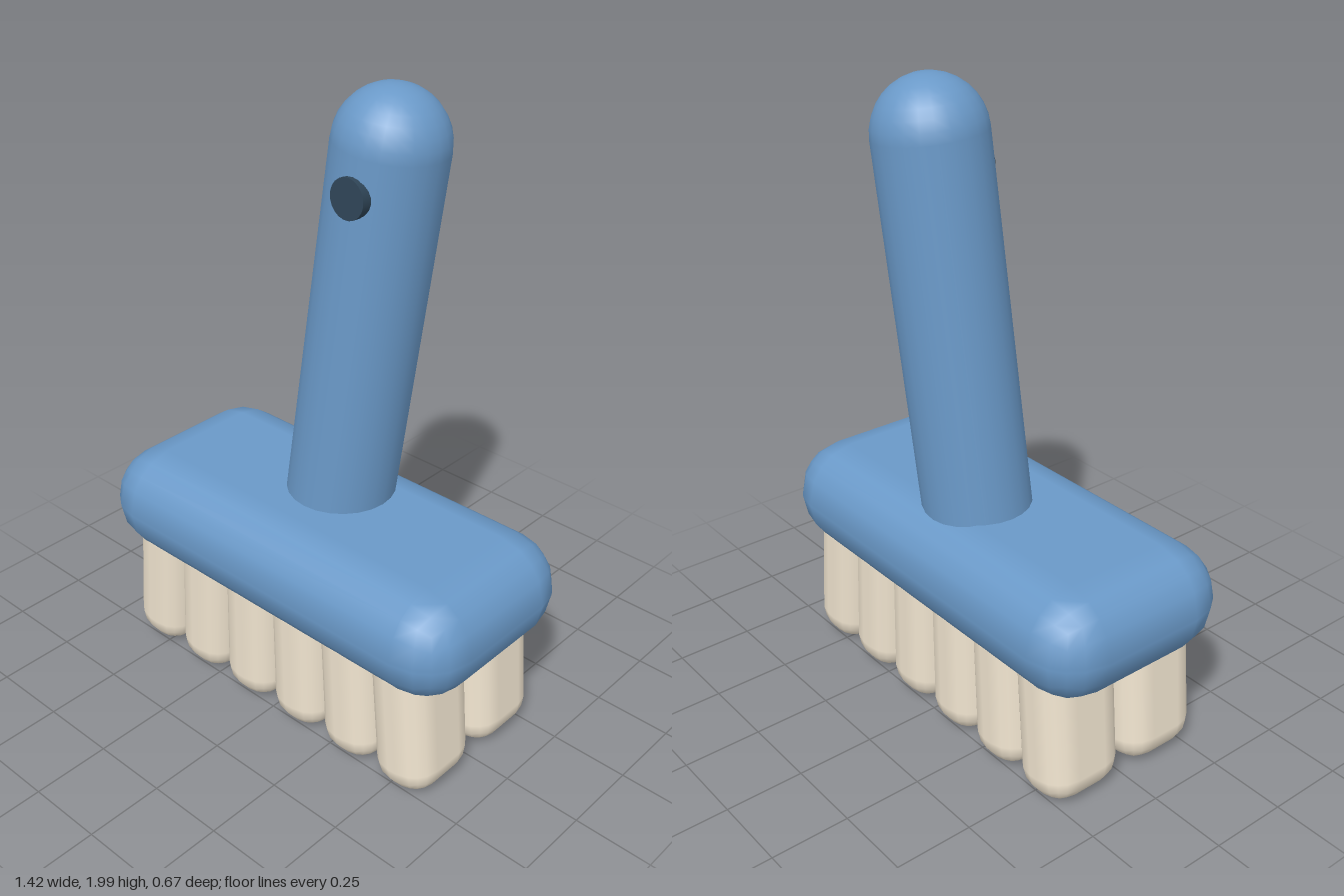
import * as THREE from 'three';
import { RoundedBoxGeometry } from 'three/addons/geometries/RoundedBoxGeometry.js';

export function createModel() {
  const model = new THREE.Group();
  model.name = 'scrubBrush';

  const blue = new THREE.MeshStandardMaterial({ color: 0x6a99c8 });
  const cream = new THREE.MeshStandardMaterial({ color: 0xf0e4cf });
  const dark = new THREE.MeshStandardMaterial({ color: 0x2f4557 });

  const add = (parent, name, geometry, material, x, y, z) => {
    const mesh = new THREE.Mesh(geometry, material);
    mesh.name = name;
    mesh.position.set(x, y, z);
    parent.add(mesh);
    return mesh;
  };

  // Soft-edged head
  add(model, 'head', new RoundedBoxGeometry(1.42, 0.34, 0.67, 2, 0.165), blue, 0, 0.54, 0);

  // Two rows of six bristle tufts, splayed outwards towards the ends
  const bristles = new THREE.Group();
  bristles.name = 'bristles';
  model.add(bristles);
  const tuft = new RoundedBoxGeometry(0.21, 0.5, 0.28, 2, 0.09);
  for (const z of [-0.15, 0.15]) {
    for (let i = 0; i < 6; i++) {
      const k = i - 2.5;
      add(bristles, 'bristleTuft', tuft, cream, k * 0.208, 0.255, z).rotation.z = k * 0.034;
    }
  }

  // Leaning handle, running from inside the head up to the round end
  const radius = 0.17;
  const base = new THREE.Vector3(-0.007, 0.6, -0.061);
  const end = new THREE.Vector3(0.125, 1.83, -0.127);
  const axis = end.clone().sub(base);
  const lean = new THREE.Quaternion().setFromUnitVectors(
    new THREE.Vector3(0, 1, 0), axis.clone().normalize());

  const handle = new THREE.Group();
  handle.name = 'handle';
  handle.position.copy(base);
  handle.quaternion.copy(lean);
  model.add(handle);

  const length = axis.length();
  add(handle, 'handleShaft',
    new THREE.CylinderGeometry(radius, radius, length, 24), blue, 0, length / 2, 0);
  add(handle, 'handleEnd', new THREE.SphereGeometry(radius, 24, 16), blue, 0, length, 0);

  // Dark hanging hole on the front of the handle
  add(handle, 'hangingHole', new THREE.CylinderGeometry(0.06, 0.06, 0.04, 20), dark,
    0.018, length - 0.115, radius - 0.008).rotation.x = Math.PI / 2;

  return model;
}
